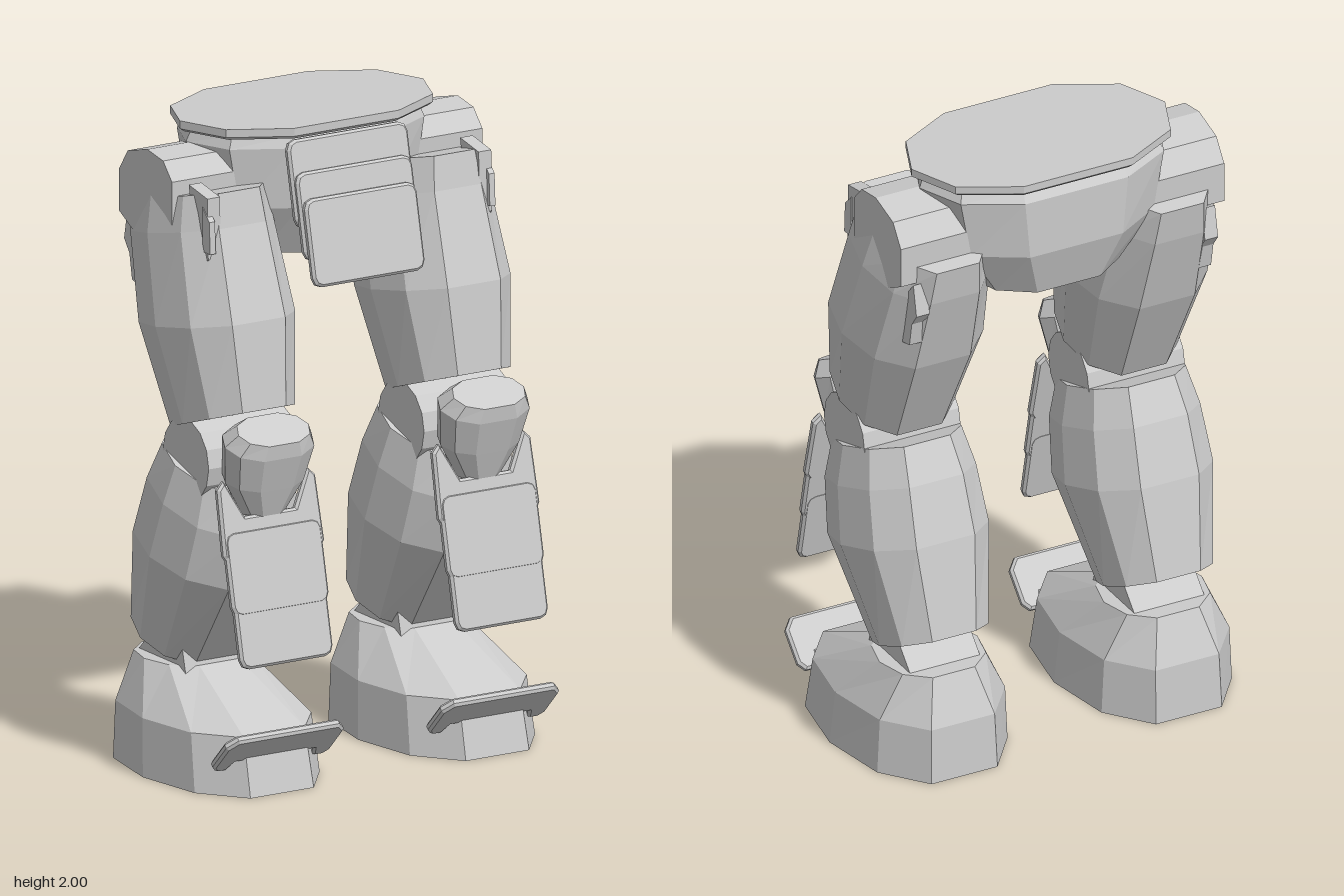
import * as THREE from 'three';

const material = new THREE.MeshStandardMaterial({ color: 0xcccccc, flatShading: true, side: THREE.DoubleSide });

// Ten-sided armour outline, as fractions of half width and half depth
const quarter = [[1, 0], [0.85, 0.62], [0.43, 1]];
const RING = [
  ...quarter,
  [-0.43, 1], [-0.85, 0.62], [-1, 0], [-0.85, -0.62], [-0.43, -1],
  [0.43, -1], [0.85, -0.62],
];

function add(parent, name, geometry, x = 0, y = 0, z = 0, tilt = 0) {
  const mesh = new THREE.Mesh(geometry, material);
  mesh.name = name;
  mesh.position.set(x, y, z);
  mesh.rotation.x = tilt;
  parent.add(mesh);
  return mesh;
}

// Closed shell through sections [y, z, halfWidth, halfDepth, slope], bottom to top
function loft(sections) {
  const n = RING.length;
  const pos = [];
  const index = [];
  for (const [y, z, w, d, slope = 0] of sections) {
    for (const [u, v] of RING) pos.push(u * w, y + slope * v * d, z + v * d);
  }
  for (let s = 0; s < sections.length - 1; s++) {
    for (let i = 0; i < n; i++) {
      const a = s * n + i, b = s * n + (i + 1) % n;
      index.push(a, a + n, b, b, a + n, b + n);
    }
  }
  const top = (sections.length - 1) * n;
  for (let i = 1; i < n - 1; i++) {
    index.push(0, i, i + 1, top, top + i + 1, top + i);
  }
  const geo = new THREE.BufferGeometry();
  geo.setAttribute('position', new THREE.Float32BufferAttribute(pos, 3));
  geo.setIndex(index);
  const flat = geo.toNonIndexed();
  flat.computeVertexNormals();
  return flat;
}

const outline = (points) => new THREE.Shape(points.map(([a, b]) => new THREE.Vector2(a, b)));

// Thin bevelled slab facing z
function slab(points, depth = 0.012, bevel = 0.008) {
  const geo = new THREE.ExtrudeGeometry(outline(points), {
    depth, bevelThickness: bevel, bevelSize: bevel, bevelOffset: -bevel, bevelSegments: 1,
  });
  return geo.translate(0, 0, -depth / 2);
}

function plate(w, h, c = 0.03) {
  const a = w / 2, b = h / 2;
  return slab([
    [-a + c, -b], [a - c, -b], [a - c * 0.3, -b + c * 0.3], [a, -b + c],
    [a, b - c], [a - c * 0.3, b - c * 0.3], [a - c, b], [-a + c, b],
    [-a + c * 0.3, b - c * 0.3], [-a, b - c], [-a, -b + c], [-a + c * 0.3, -b + c * 0.3],
  ]);
}

// Side profile of [z, y] points, extruded across x
function prism(points, width) {
  const geo = new THREE.ExtrudeGeometry(outline(points), { depth: width, bevelEnabled: false });
  return geo.translate(0, 0, -width / 2).rotateY(-Math.PI / 2);
}

function pelvis() {
  const g = new THREE.Group();
  g.name = 'pelvis';
  add(g, 'waistPlate', loft([
    [1.965, -0.145, 0.42, 0.245], [1.975, -0.145, 0.435, 0.255], [2, -0.145, 0.435, 0.255],
  ]));
  add(g, 'pelvisShell', loft([
    [1.58, -0.15, 0.25, 0.19], [1.74, -0.15, 0.37, 0.24],
    [1.93, -0.15, 0.41, 0.24], [1.966, -0.145, 0.395, 0.22],
  ]));
  // Overlapping front skirt
  [[1.83, 0.13, 0.43], [1.735, 0.167, 0.415], [1.66, 0.205, 0.4]].forEach(([y, z, w], i) => {
    add(g, `skirtPlate${i + 1}`, plate(w, 0.27), 0, y, z, -0.22);
  });
  return g;
}

function leg(s) {
  const g = new THREE.Group();
  g.name = s > 0 ? 'leftLeg' : 'rightLeg';
  g.position.x = s * 0.385;

  add(g, 'hipJoint', prism([
    [0, 1.86], [-0.05, 1.915], [-0.14, 1.93], [-0.25, 1.9], [-0.3, 1.83],
    [-0.3, 1.7], [-0.15, 1.62], [0, 1.7],
  ], 0.27), s * 0.035);

  add(g, 'thigh', loft([
    [1.12, 0.075, 0.18, 0.178, 0.34],
    [1.41, -0.015, 0.22, 0.237, 0.17],
    [1.68, -0.1, 0.195, 0.23, 0.22],
    [1.79, -0.12, 0.17, 0.23, 0.2],
  ]));

  // Thin fins on the front and back of the outer thigh
  add(g, 'thighFrontFin', prism([[0.125, 1.83], [0.02, 1.85], [0.05, 1.68], [0.1, 1.61], [0.13, 1.64]], 0.045), s * 0.1);
  add(g, 'thighFrontSlat', prism([[0.14, 1.76], [0.1, 1.8], [0.1, 1.66], [0.145, 1.66]], 0.02), s * 0.115);
  add(g, 'thighBackFin', prism([[-0.31, 1.7], [-0.24, 1.62], [-0.24, 1.47], [-0.285, 1.48], [-0.3, 1.56], [-0.33, 1.6]], 0.045), s * 0.11);

  // Knee drum and cap
  const drum = new THREE.CylinderGeometry(0.13, 0.13, 0.33, 14).rotateZ(Math.PI / 2);
  add(g, 'kneeJoint', drum, 0, 1.005, 0.07);
  add(g, 'kneeCap', loft([
    [0.86, 0.24, 0.07, 0.055],
    [0.97, 0.245, 0.135, 0.08, -0.3],
    [1.09, 0.275, 0.155, 0.085, -0.45],
    [1.13, 0.305, 0.125, 0.062, -0.5],
  ]));

  add(g, 'shin', loft([
    [0.388, -0.172, 0.175, 0.153, -0.41],
    [0.685, -0.03, 0.232, 0.24, -0.28],
    [0.86, 0.02, 0.215, 0.23, -0.32],
    [0.982, 0.042, 0.185, 0.193, -0.32],
  ]));

  // Overlapping shin guard, the upper plate notched around the knee cap
  add(g, 'shinPlate1', slab([
    [-0.165, -0.125], [0.165, -0.125], [0.18, -0.1], [0.175, 0.1], [0.15, 0.125],
    [0.09, 0.01], [-0.09, 0.01], [-0.15, 0.125], [-0.175, 0.1], [-0.18, -0.1],
  ]), 0, 0.855, 0.278, -0.22);
  add(g, 'shinPlate2', plate(0.345, 0.26), 0, 0.7, 0.315, -0.22);
  add(g, 'shinPlate3', plate(0.33, 0.255), 0, 0.54, 0.35, -0.22);

  add(g, 'ankle', prism([[0, 0.3], [-0.03, 0.42], [-0.2, 0.39], [-0.28, 0.31]], 0.24));

  add(g, 'foot', loft([
    [0, -0.018, 0.263, 0.372],
    [0.18, -0.035, 0.253, 0.345],
    [0.325, -0.16, 0.168, 0.162],
  ]));

  // Toe guard with a cut-out lower edge
  add(g, 'toeGuard', slab([
    [-0.21, -0.06], [-0.19, -0.085], [-0.155, -0.085], [-0.14, -0.04],
    [0.14, -0.04], [0.155, -0.085], [0.19, -0.085], [0.21, -0.06],
    [0.21, 0.05], [0.18, 0.085], [-0.18, 0.085], [-0.21, 0.05],
  ]), 0, 0.145, 0.33, Math.PI / 4);
  return g;
}

export function createModel() {
  const model = new THREE.Group();
  model.name = 'armouredLegs';
  model.add(pelvis(), leg(1), leg(-1));
  return model;
}
